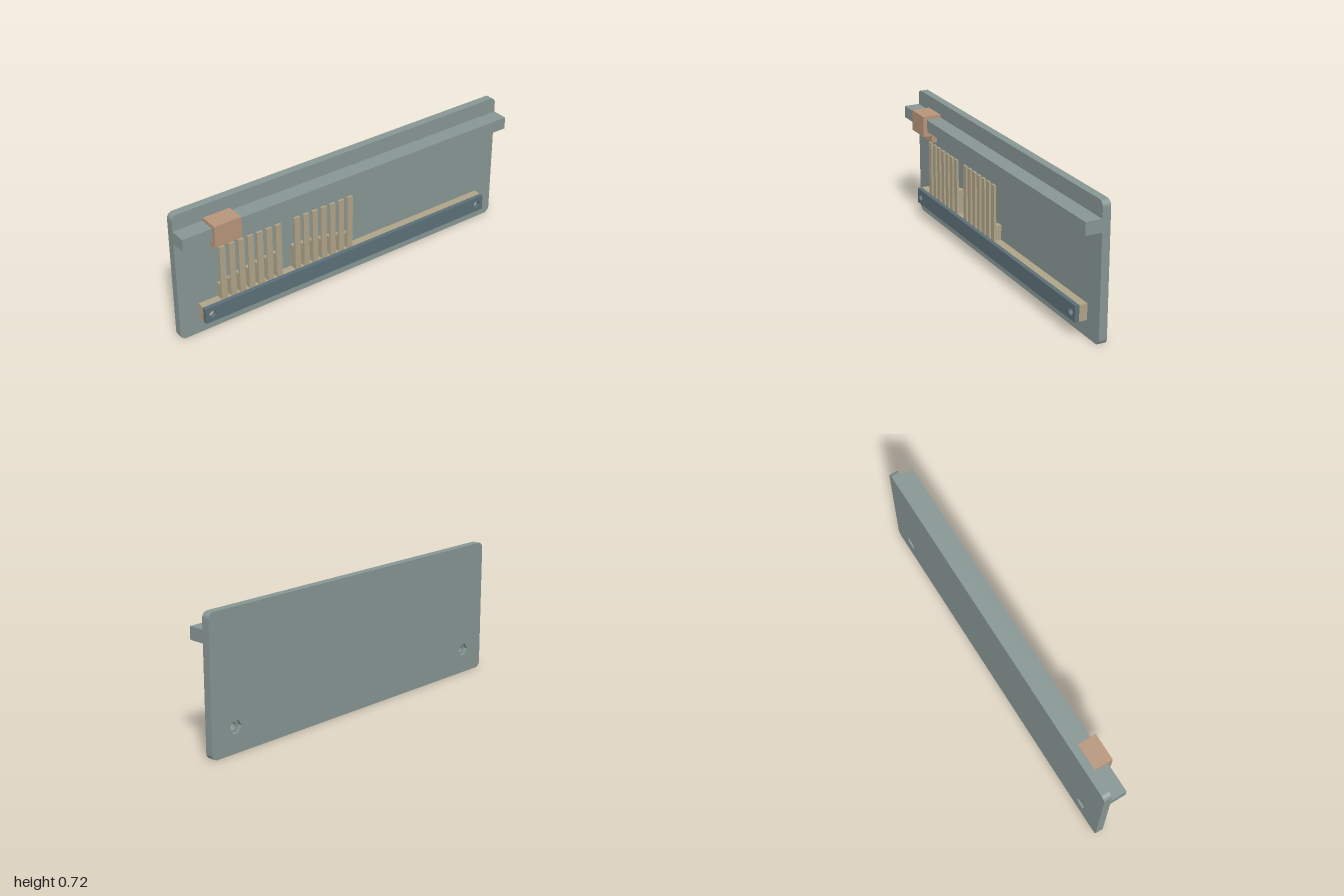
import * as THREE from 'three';

export function createModel() {
  const model = new THREE.Group();
  const mat = (name, color) => new THREE.MeshStandardMaterial({ name, color });
  const plateGrey = mat('plate grey', 0x869593);
  const barSlate = mat('bar slate', 0x5c6f77);
  const combTan = mat('comb tan', 0xaea387);
  const carriageBrown = mat('carriage brown', 0xb6947a);

  const add = (name, geometry, material, parent = model) => {
    const mesh = new THREE.Mesh(geometry, material);
    mesh.name = name;
    parent.add(mesh);
    return mesh;
  };
  // Box given by its limits on each axis
  const box = (name, x0, x1, y0, y1, z0, z1, material, parent) =>
    add(name, new THREE.BoxGeometry(x1 - x0, y1 - y0, z1 - z0), material, parent)
      .position.set((x0 + x1) / 2, (y0 + y1) / 2, (z0 + z1) / 2);
  // Rounded rectangle outline
  const outline = (x0, x1, y0, y1, r = 0) => {
    const s = new THREE.Shape();
    if (!r) return s.setFromPoints([[x0, y0], [x1, y0], [x1, y1], [x0, y1]].map(p => new THREE.Vector2(...p)));
    s.absarc(x1 - r, y0 + r, r, -Math.PI / 2, 0);
    s.absarc(x1 - r, y1 - r, r, 0, Math.PI / 2);
    s.absarc(x0 + r, y1 - r, r, Math.PI / 2, Math.PI);
    s.absarc(x0 + r, y0 + r, r, Math.PI, Math.PI * 1.5);
    s.closePath();
    return s;
  };
  // Hole with n sides
  const hole = (x, y, r, n) => new THREE.Path().setFromPoints(
    Array.from({ length: n }, (_, i) => new THREE.Vector2(
      x + r * Math.cos(-i * 2 * Math.PI / n), y + r * Math.sin(-i * 2 * Math.PI / n))));
  // Flat slab between two depths, with holes
  const slab = (name, shape, holes, z0, z1, material, parent) => {
    shape.holes.push(...holes);
    const g = new THREE.ExtrudeGeometry(shape, { depth: z1 - z0, bevelEnabled: false, curveSegments: 8 });
    add(name, g.translate(0, 0, z0), material, parent);
  };
  const boltHoles = (r, n) => [-0.85, 0.85].map(x => hole(x, 0.131, r, n));

  // Back plate: round bolt holes in front, hexagonal nut pockets behind
  slab('backPlateFront', outline(-1, 1, 0, 0.717, 0.032), boltHoles(0.02, 24), -0.057, -0.034, plateGrey);
  slab('backPlateRear', outline(-1, 1, 0, 0.717, 0.032), boltHoles(0.036, 6), -0.077, -0.057, plateGrey);

  // Guide rail
  box('guideRail', -1, 1, 0.566, 0.632, -0.034, 0.053, plateGrey);

  // Comb base and clamp bar
  slab('combBase', outline(-0.89, 0.89, 0.088, 0.174), boltHoles(0.02, 24), -0.034, 0.009, combTan);
  slab('clampBar', outline(-0.89, 0.89, 0.088, 0.174), boltHoles(0.02, 24), 0.009, 0.032, barSlate);

  // Two sets of seven tines, each with a stepped block behind
  const comb = new THREE.Group();
  comb.name = 'comb';
  model.add(comb);
  const steps = [0.255, 0.266, 0.277, 0.285, 0.294, 0.3, 0.305];
  [-0.779, -0.341].forEach((start, set) => {
    for (let i = 0; i < 7; i++) {
      const x = start + i * 0.0542;
      box('tine', x, x + 0.033, 0.174, 0.478, -0.003, 0.009, combTan, comb);
      box('tineBlock', x, x + 0.033, 0.174, steps[set ? 6 - i : i], -0.034, -0.003, combTan, comb);
    }
  });

  // Sliding carriage: C-shaped clip around the rail
  const carriage = new THREE.Group();
  carriage.name = 'carriage';
  model.add(carriage);
  const clip = new THREE.Shape([
    [0.024, 0.541], [0.024, 0.562], [-0.056, 0.562], [-0.056, 0.636],
    [0.024, 0.636], [0.024, 0.655], [-0.078, 0.655], [-0.078, 0.541],
  ].map(p => new THREE.Vector2(...p)));
  const clipGeometry = new THREE.ExtrudeGeometry(clip, { depth: 0.15, bevelEnabled: false });
  add('carriageClip', clipGeometry.rotateY(Math.PI / 2).translate(-0.84, 0, 0), carriageBrown, carriage);

  // Stem with a small hole, and the plucking pin below it
  slab('carriageStem', outline(-0.813, -0.717, 0.491, 0.541), [hole(-0.765, 0.522, 0.009, 16)],
    -0.014, 0.016, carriageBrown, carriage);
  add('pluckingPin', new THREE.CylinderGeometry(0.0045, 0.0045, 0.026, 16), carriageBrown, carriage)
    .position.set(-0.765, 0.479, -0.006);

  return model;
}
